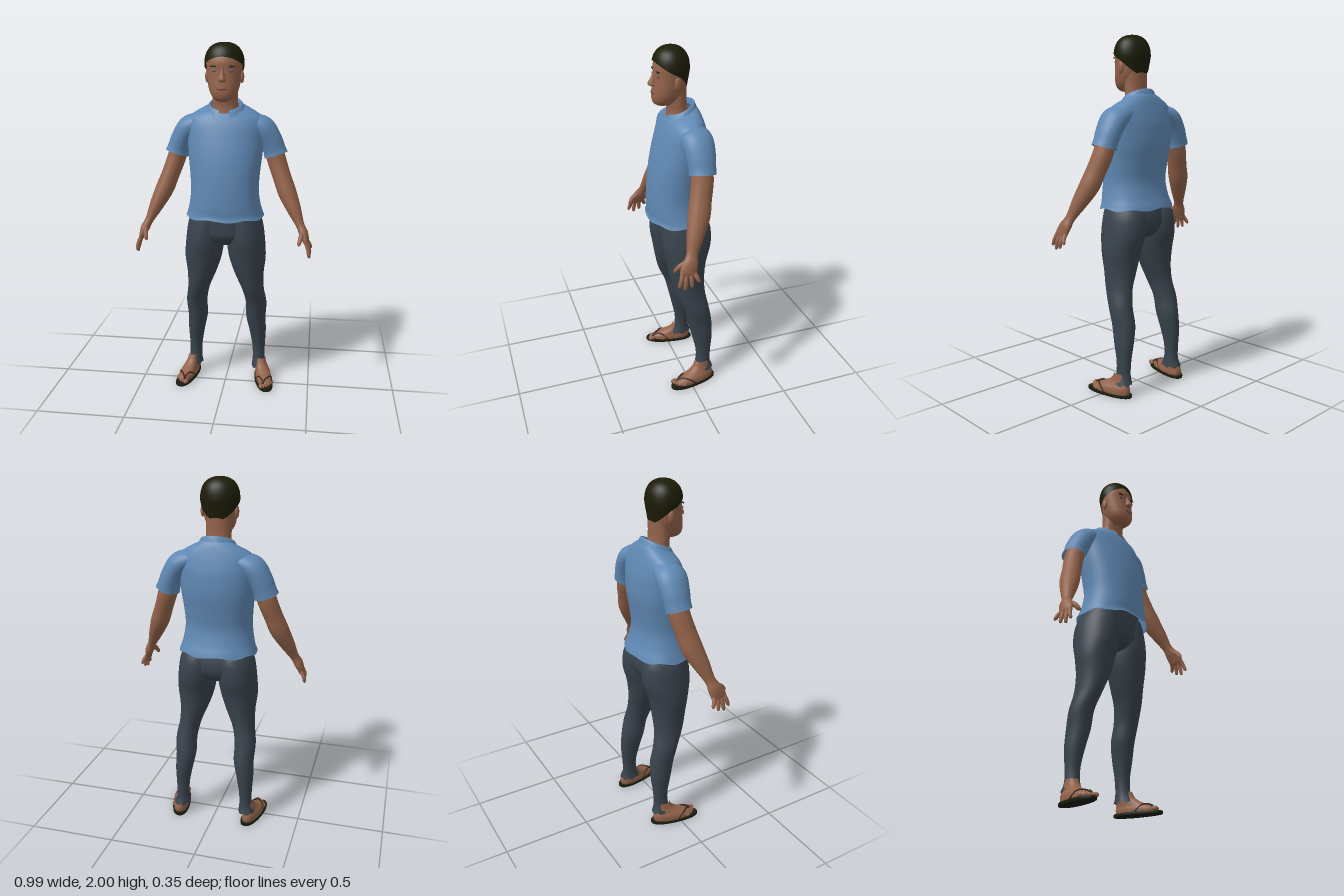
import * as THREE from 'three';

const mat = (name, color, side = THREE.FrontSide) => {
  const m = new THREE.MeshStandardMaterial({ color, side });
  m.name = name;
  return m;
};

// Smooth interpolation through rows of numbers, t in 0..1
function sample(rows, t) {
  const n = rows.length - 1, p = Math.min(Math.max(t, 0), 1) * n;
  const i = Math.min(Math.floor(p), n - 1), f = p - i;
  const row = k => rows[Math.min(Math.max(k, 0), n)];
  return rows[0].map((_, c) => {
    const [a, b, d, e] = [row(i - 1)[c], row(i)[c], row(i + 1)[c], row(i + 2)[c]];
    return b + 0.5 * f * (d - a + f * (2 * a - 5 * b + 4 * d - e + f * (3 * (b - d) + e - a)));
  });
}

// Surface from point(t, angle); wraps round when the angle range is a full turn
function surface(point, nt, na, a0 = 0, a1 = Math.PI * 2) {
  const closed = a1 - a0 > 6.28, cols = closed ? na : na + 1;
  const pos = [], idx = [];
  for (let i = 0; i <= nt; i++)
    for (let j = 0; j < cols; j++) pos.push(...point(i / nt, a0 + (a1 - a0) * j / na));
  for (let i = 0; i < nt; i++)
    for (let j = 0; j < na; j++) {
      const k = (j + 1) % cols, a = i * cols + j, b = i * cols + k;
      idx.push(a, b, a + cols, b, b + cols, a + cols);
    }
  const g = new THREE.BufferGeometry();
  g.setAttribute('position', new THREE.Float32BufferAttribute(pos, 3));
  g.setIndex(idx);
  g.computeVertexNormals();
  return g;
}

const pw = (v, e) => Math.sign(v) * Math.pow(Math.abs(v), 2 / e);

// Level rings listed from top to bottom: [y, centre x, half width, front z, back z, forward tilt]
function stack(rows, { e = 2, n = 36, steps = 5, a0, a1, ripple = 0 } = {}) {
  return surface((t, a) => {
    const [y, cx, rx, zf, zb, tilt = 0] = sample(rows, t);
    const z = (zf + zb) / 2 + (zf - zb) / 2 * pw(Math.sin(a), e);
    const wave = ripple * Math.pow(t, 8) * Math.sin(a * 7 + 1);
    return [cx + rx * pw(Math.cos(a), e), y - tilt * z / 0.1 + wave, z];
  }, (rows.length - 1) * steps, n, a0, a1);
}

// Rings square to a path: [x, y, z, half width, half depth]
function limb(rows, n = 20, steps = 5) {
  const Z = new THREE.Vector3(0, 0, 1);
  return surface((t, a) => {
    const [x, y, z, ra, rb] = sample(rows, t);
    const p = sample(rows, t - 0.02), q = sample(rows, t + 0.02);
    const dir = new THREE.Vector3(q[0] - p[0], q[1] - p[1], q[2] - p[2]).normalize();
    const u = new THREE.Vector3().crossVectors(Z, dir).normalize();
    const v = new THREE.Vector3().crossVectors(dir, u);
    return u.multiplyScalar(ra * Math.cos(a)).addScaledVector(v, rb * Math.sin(a))
      .add(new THREE.Vector3(x, y, z)).toArray();
  }, (rows.length - 1) * steps, n);
}

const blob = (x, y, z, rx, ry, rz) =>
  new THREE.SphereGeometry(1, 16, 10).scale(rx, ry, rz).translate(x, y, z);

function mirrored(geo) {
  const g = geo.clone().scale(-1, 1, 1), ix = g.index;
  for (let i = 0; i < ix.count; i += 3) {
    const b = ix.getX(i + 1);
    ix.setX(i + 1, ix.getX(i + 2));
    ix.setX(i + 2, b);
  }
  return g;
}

export function createModel() {
  const root = new THREE.Group();
  root.name = 'standingMan';
  const shirt = mat('shirtBlue', 0x5f88b3, THREE.DoubleSide);
  const denim = mat('trouserSlate', 0x39434d, THREE.DoubleSide);
  const skin = mat('skinBrown', 0x93634a);
  const hair = mat('hairDark', 0x1c1c08, THREE.DoubleSide);
  const sole = mat('sandalDark', 0x1b1d10);
  const strap = mat('strapBrown', 0x3a281c);
  const lip = mat('lipBrown', 0x7c4a3c);
  const eye = mat('eyeGrey', 0x4c5660);

  const add = (name, geo, m) => {
    const mesh = new THREE.Mesh(geo, m);
    mesh.name = name;
    root.add(mesh);
  };
  const pair = (name, geo, m) => {
    add(name + 'Left', geo, m);
    add(name + 'Right', mirrored(geo), m);
  };

  // Shirt body, sleeves and folded collar
  add('shirtBody', stack([
    [1.655, 0, 0.085, 0.055, -0.085, 0.04], [1.637, 0, 0.135, 0.066, -0.105, 0.025],
    [1.605, 0, 0.195, 0.078, -0.122, 0.01], [1.56, 0, 0.215, 0.095, -0.138, 0],
    [1.5, 0, 0.213, 0.115, -0.15, 0], [1.4, 0, 0.207, 0.142, -0.154, 0],
    [1.3, 0, 0.196, 0.16, -0.141, 0], [1.2, 0, 0.19, 0.17, -0.13, 0],
    [1.12, 0, 0.2, 0.174, -0.145, 0], [1.07, 0, 0.213, 0.172, -0.163, 0],
    [1.047, 0, 0.222, 0.178, -0.17, 0]], { e: 2.2, n: 56, ripple: 0.006 }), shirt);
  pair('sleeve', limb([
    [0.13, 1.575, -0.035, 0.045, 0.075], [0.2, 1.543, -0.037, 0.065, 0.086],
    [0.245, 1.48, -0.04, 0.064, 0.08], [0.27, 1.42, -0.04, 0.063, 0.073],
    [0.28, 1.39, -0.038, 0.068, 0.073]], 28), shirt);
  add('collar', stack([
    [1.64, 0, 0.08, 0.055, -0.072, 0.05], [1.668, 0, 0.083, 0.06, -0.078, 0.045],
    [1.664, 0, 0.095, 0.07, -0.088, 0.045], [1.632, 0, 0.112, 0.088, -0.1, 0.04]],
    { a0: Math.PI / 2 + 0.3, a1: Math.PI * 2.5 - 0.3, ripple: 0.006 }), shirt);

  // Trousers
  add('trouserSeat', stack([
    [1.1, 0, 0.185, 0.13, -0.12], [1, 0, 0.207, 0.125, -0.145], [0.94, 0, 0.2, 0.12, -0.138],
    [0.89, 0, 0.12, 0.08, -0.1], [0.865, 0, 0.005, 0.01, -0.03]]), denim);
  pair('trouserLeg', stack([
    [1.07, 0.1, 0.09, 0.115, -0.12], [1, 0.108, 0.106, 0.125, -0.152],
    [0.9, 0.118, 0.11, 0.128, -0.152], [0.8, 0.128, 0.106, 0.11, -0.122],
    [0.7, 0.139, 0.084, 0.092, -0.11], [0.6, 0.16, 0.064, 0.066, -0.11],
    [0.5, 0.178, 0.061, 0.022, -0.128], [0.4, 0.176, 0.058, -0.003, -0.148],
    [0.3, 0.187, 0.049, -0.028, -0.15], [0.2, 0.193, 0.038, -0.05, -0.14],
    [0.12, 0.195, 0.037, -0.048, -0.138], [0.07, 0.2, 0.048, -0.028, -0.152]],
    { ripple: 0.006 }), denim);

  // Arms with palms, then four fingers and a thumb
  pair('arm', limb([
    [0.255, 1.45, -0.04, 0.052, 0.058], [0.285, 1.36, -0.035, 0.053, 0.06],
    [0.317, 1.27, -0.015, 0.051, 0.059], [0.348, 1.19, 0.005, 0.052, 0.06],
    [0.39, 1.1, 0.04, 0.04, 0.046], [0.427, 1.02, 0.07, 0.024, 0.031],
    [0.447, 0.98, 0.085, 0.025, 0.041], [0.46, 0.945, 0.1, 0.019, 0.046],
    [0.467, 0.92, 0.106, 0.012, 0.042], [0.469, 0.914, 0.107, 0.001, 0.002]]), skin);
  [['indexFinger', 0.135, [0.48, 0.862, 0.158]], ['middleFinger', 0.115, [0.483, 0.845, 0.127]],
    ['ringFinger', 0.092, [0.486, 0.855, 0.09]], ['littleFinger', 0.073, [0.489, 0.88, 0.053]]
  ].forEach(([name, z, [tx, ty, tz]]) => pair(name, limb([
    [0.461, 0.94, z, 0.011, 0.012],
    [(0.461 + tx) / 2 + 0.006, (0.94 + ty) / 2, (z + tz) / 2, 0.011, 0.012],
    [tx, ty + 0.008, tz, 0.008, 0.009], [tx, ty, tz, 0.0005, 0.0005]], 10, 4), skin));
  pair('thumb', limb([
    [0.442, 0.99, 0.1, 0.014, 0.016], [0.434, 0.962, 0.142, 0.013, 0.015],
    [0.426, 0.935, 0.163, 0.01, 0.011], [0.422, 0.925, 0.171, 0.0005, 0.0005]], 10, 4), skin);

  // Neck, head and ears
  add('neck', stack([
    [1.8, 0, 0.07, 0.06, -0.045], [1.72, 0, 0.07, 0.066, -0.045],
    [1.66, 0, 0.073, 0.058, -0.05], [1.58, 0, 0.09, 0.07, -0.06]]), skin);
  add('head', stack([
    [1.985, 0, 0.005, 0.04, 0.03], [1.97, 0, 0.055, 0.085, -0.01], [1.94, 0, 0.086, 0.113, -0.04],
    [1.9, 0, 0.096, 0.129, -0.05], [1.86, 0, 0.095, 0.13, -0.05], [1.82, 0, 0.091, 0.133, -0.045],
    [1.78, 0, 0.086, 0.138, -0.038], [1.74, 0, 0.074, 0.142, -0.02], [1.71, 0, 0.054, 0.135, 0.005],
    [1.694, 0, 0.03, 0.115, 0.03], [1.69, 0, 0.003, 0.09, 0.07]], { e: 2.15 }), skin);
  pair('ear', blob(0.094, 1.82, 0.03, 0.012, 0.034, 0.02), skin);

  // Face details
  add('nose', stack([
    [1.875, 0, 0.006, 0.132, 0.11], [1.845, 0, 0.011, 0.145, 0.11], [1.815, 0, 0.019, 0.162, 0.11],
    [1.802, 0, 0.021, 0.158, 0.11], [1.795, 0, 0.003, 0.137, 0.12]], { n: 16 }), skin);
  add('lips', blob(0, 1.762, 0.138, 0.028, 0.009, 0.006), lip);
  pair('eye', blob(0.04, 1.853, 0.123, 0.015, 0.006, 0.005).rotateY(0.03), eye);
  pair('eyebrow', blob(0.042, 1.877, 0.123, 0.022, 0.0045, 0.005).rotateY(0.03), hair);

  // Hair cap, high over the forehead and low at the nape
  add('hair', surface((t, a) => {
    const s = Math.sin(a), c = Math.cos(a);
    const low = s > 0 ? 1.865 + 0.062 * Math.pow(s, 1.2) : 1.865 - 0.085 * Math.pow(-s, 1.2);
    const y = low + (2 - low) * Math.cos(t * Math.PI / 2);
    const k = y > 1.88 ? Math.pow(Math.max(0, 1 - Math.pow((y - 1.88) / 0.12, 2.4)), 0.42)
      : 1 - 1.8 * (1.88 - y);
    return [0.108 * k * c, y, 0.036 + (s > 0 ? 0.102 : 0.096) * k * s];
  }, 20, 40), hair);

  // Feet and thong sandals, turned slightly outward
  const place = g => g.rotateY(0.2).translate(0.232, 0, -0.014);
  pair('foot', place(stack([
    [0.13, -0.012, 0.03, -0.035, -0.115], [0.095, -0.01, 0.034, -0.015, -0.125],
    [0.07, -0.005, 0.038, 0.025, -0.13], [0.05, 0, 0.043, 0.075, -0.136],
    [0.033, 0, 0.046, 0.105, -0.138], [0.014, 0, 0.045, 0.108, -0.134]], { e: 2.3 })), skin);
  for (let i = 0; i < 5; i++)
    pair('toe' + (i + 1), place(blob(-0.03 + i * 0.016, 0.026, 0.112 - i * i * 0.0028,
      i ? 0.009 : 0.013, i ? 0.011 : 0.014, 0.02)), skin);
  pair('sandalSole', place(stack([
    [0.016, 0, 0.001, 0.001, -0.001], [0.016, 0, 0.05, 0.14, -0.15], [0.014, 0, 0.052, 0.143, -0.152],
    [0.002, 0, 0.052, 0.143, -0.152], [0, 0, 0.05, 0.14, -0.15], [0, 0, 0.001, 0.001, -0.001]],
    { e: 2.3, steps: 1 })), sole);
  [-1, 1].forEach(s => pair(s < 0 ? 'innerStrap' : 'outerStrap', place(new THREE.TubeGeometry(
    new THREE.CatmullRomCurve3([[-0.018, 0.03, 0.108], [-0.012 + s * 0.008, 0.05, 0.082],
      [s * 0.032, 0.053, 0.045], [s * 0.048, 0.016, 0]].map(p => new THREE.Vector3(...p))),
    16, 0.005, 6)), strap));

  return root;
}
